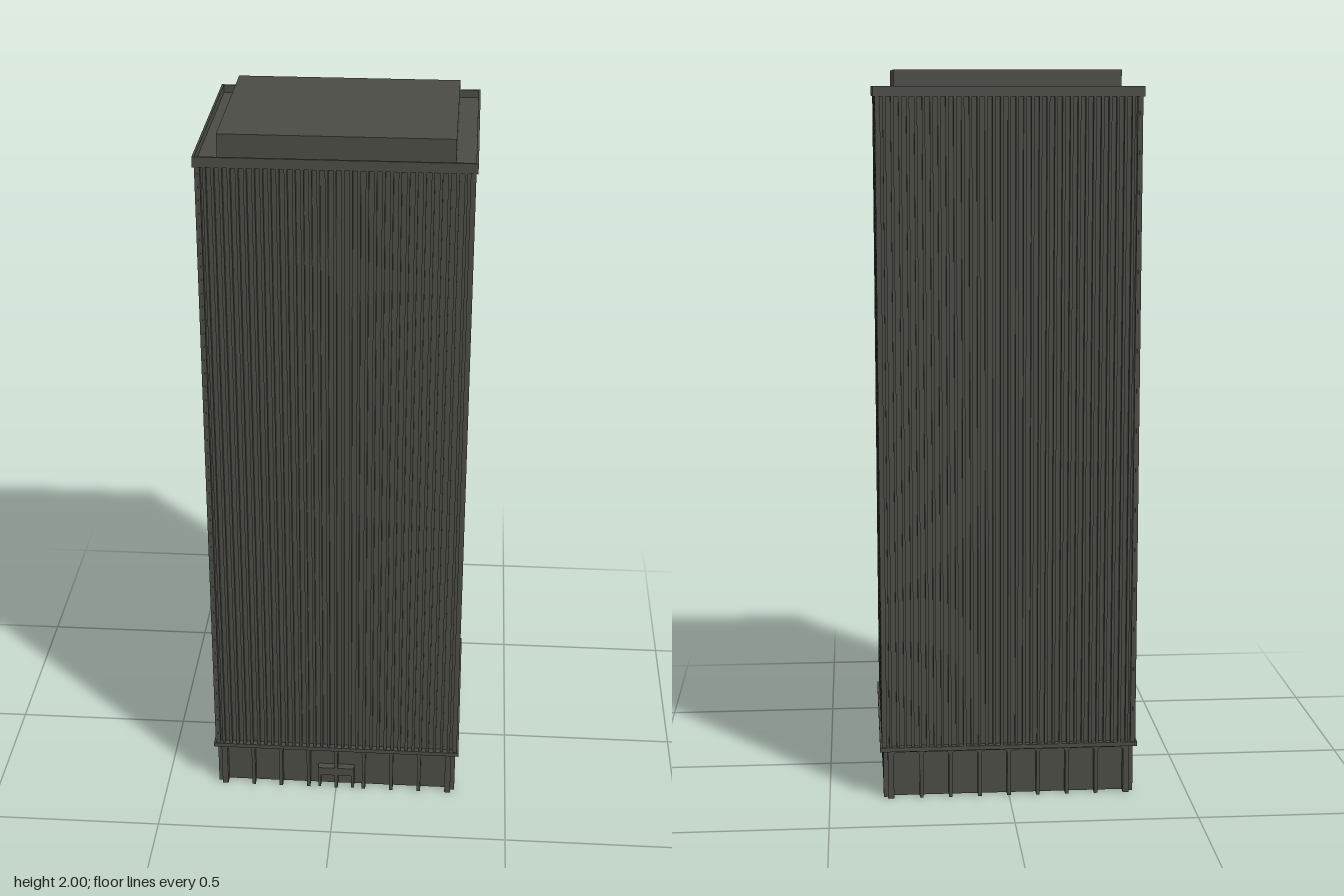
import * as THREE from 'three';
import { mergeGeometries } from 'three/addons/utils/BufferGeometryUtils.js';

const stone = new THREE.MeshStandardMaterial({ color: 0x4b4b45 });
stone.name = 'dark stone';

const BASE_TOP = 0.138, ROOF = 1.936, RIM_TOP = 1.957;

function add(parent, name, geometry) {
  const mesh = new THREE.Mesh(geometry, stone);
  mesh.name = name;
  parent.add(mesh);
  return mesh;
}

// Box given by its width, depth and lower and upper height
function block(w, d, y0, y1, x = 0, z = 0) {
  return new THREE.BoxGeometry(w, y1 - y0, d).translate(x, (y0 + y1) / 2, z);
}

// Rectangular ring, open at top and bottom
function ring(hx, hz, t, y0, y1) {
  const rect = (C, a, b) => {
    const p = new C();
    p.moveTo(-a, -b);
    p.lineTo(a, -b);
    p.lineTo(a, b);
    p.lineTo(-a, b);
    p.closePath();
    return p;
  };
  const shape = rect(THREE.Shape, hx, hz);
  shape.holes.push(rect(THREE.Path, hx - t, hz - t));
  return new THREE.ExtrudeGeometry(shape, { depth: y1 - y0, bevelEnabled: false })
    .rotateX(-Math.PI / 2).translate(0, y0, 0);
}

// Row of round-cornered bays between thin piers, open at the ground
function arcade(bays, halfBays, halfEnd, depth) {
  const pitch = (2 * halfBays) / bays, pier = 0.005, top = 0.134, r = 0.012;
  const s = new THREE.Shape();
  s.moveTo(-halfEnd, 0);
  for (let i = 0; i < bays; i++) {
    const a = -halfBays + i * pitch + pier, b = -halfBays + (i + 1) * pitch - pier;
    s.lineTo(a, 0);
    s.lineTo(a, top - r);
    s.quadraticCurveTo(a, top, a + r, top);
    s.lineTo(b - r, top);
    s.quadraticCurveTo(b, top, b, top - r);
    s.lineTo(b, 0);
  }
  s.lineTo(halfEnd, 0);
  s.lineTo(halfEnd, BASE_TOP);
  s.lineTo(-halfEnd, BASE_TOP);
  s.closePath();
  return new THREE.ExtrudeGeometry(s, { depth, bevelEnabled: false, curveSegments: 4 });
}

// Row of tall upright fins along one side
function fins(count, half, depth) {
  const list = [], w = 0.008;
  for (let i = 0; i < count; i++) {
    const x = -half + w / 2 + (i * (2 * half - w)) / (count - 1);
    list.push(block(w, depth, BASE_TOP + 0.006, ROOF, x, depth / 2));
  }
  return mergeGeometries(list);
}

export function createModel() {
  const model = new THREE.Group();
  model.name = 'officeTower';

  // Hollow ground floor
  add(model, 'baseWalls', ring(0.325, 0.27, 0.005, 0, BASE_TOP));

  // Shaft with ledge, rim and roof block
  add(model, 'shaft', block(0.68, 0.572, BASE_TOP, ROOF));
  add(model, 'lowerLedge', block(0.718, 0.606, BASE_TOP, BASE_TOP + 0.012));
  add(model, 'roofDeck', block(0.708, 0.598, ROOF - 0.006, ROOF));
  add(model, 'roofRim', ring(0.359, 0.303, 0.006, ROOF - 0.006, RIM_TOP));
  add(model, 'roofBlock', block(0.606, 0.494, ROOF, 2));

  // Arcade and fins on all four sides
  const sides = [
    { bays: 8, halfBays: 0.326, halfEnd: 0.338, wall: 0.27, count: 35, half: 0.354, core: 0.286 },
    { bays: 7, halfBays: 0.272, halfEnd: 0.281, wall: 0.325, count: 30, half: 0.299, core: 0.34 },
  ];
  ['front', 'left', 'back', 'right'].forEach((name, i) => {
    const s = sides[i % 2];
    const side = new THREE.Group();
    side.name = name + 'Side';
    side.rotation.y = (i * Math.PI) / 2;
    add(side, 'arcade', arcade(s.bays, s.halfBays, s.halfEnd, 0.025)).position.z = s.wall;
    add(side, 'fins', fins(s.count, s.half, 0.014)).position.z = s.core;
    model.add(side);
  });

  // Entrance frame in the two middle bays
  const door = new THREE.Group();
  door.name = 'entrance';
  add(door, 'lintel', block(0.106, 0.022, 0.042, 0.068, 0, 0.281));
  for (const x of [-0.049, 0.049]) add(door, 'doorPost', block(0.008, 0.022, 0, 0.042, x, 0.281));
  model.add(door);

  return model;
}
